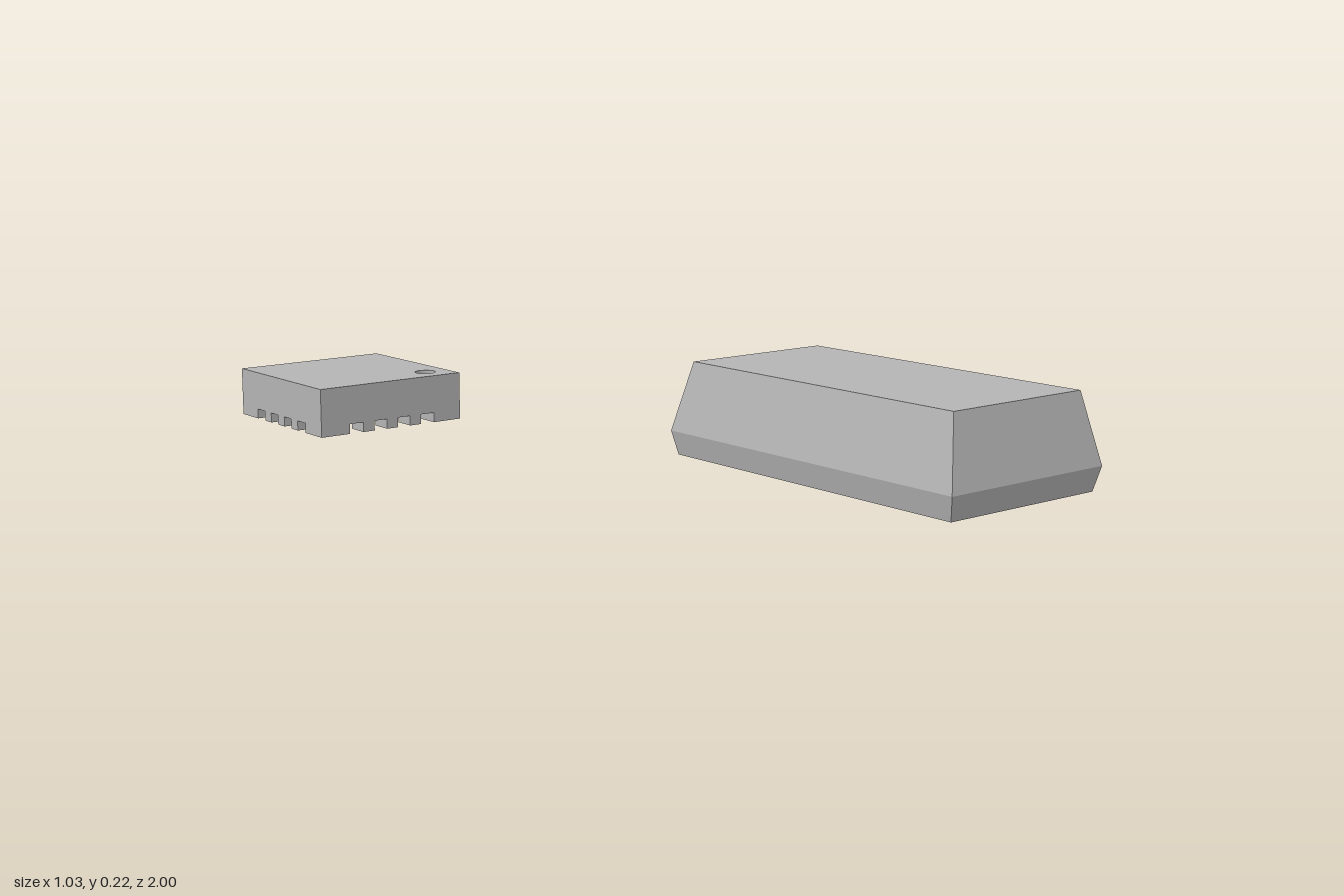
import * as THREE from 'three';

const grey = new THREE.MeshStandardMaterial({ color: 0xb4b4b4 });
grey.name = 'package grey';

function add(parent, name, geometry, x = 0, y = 0, z = 0) {
  const mesh = new THREE.Mesh(geometry, grey);
  mesh.name = name;
  mesh.position.set(x, y, z);
  parent.add(mesh);
  return mesh;
}

function square(half, Type = THREE.Shape) {
  const s = new Type();
  s.moveTo(-half, -half);
  s.lineTo(half, -half);
  s.lineTo(half, half);
  s.lineTo(-half, half);
  s.closePath();
  return s;
}

// Horizontal plate with a hole, lying on y = 0
function plate(half, hole, thickness) {
  const s = square(half);
  s.holes.push(hole);
  const g = new THREE.ExtrudeGeometry(s, { depth: thickness, bevelEnabled: false, curveSegments: 20 });
  return g.rotateX(-Math.PI / 2);
}

// Solid from stacked rectangles [y, half width, half depth], bottom to top
function stackedRects(rings) {
  const p = [];
  const corners = rings.map(([y, w, d]) => [[-w, y, d], [w, y, d], [w, y, -d], [-w, y, -d]]);
  const quad = (a, b, c, d) => p.push(...a, ...b, ...c, ...a, ...c, ...d);
  for (let r = 0; r < corners.length - 1; r++) {
    for (let i = 0; i < 4; i++) {
      const j = (i + 1) % 4;
      quad(corners[r][i], corners[r][j], corners[r + 1][j], corners[r + 1][i]);
    }
  }
  const [a, b, c, d] = corners[0];
  quad(d, c, b, a);
  quad(...corners[corners.length - 1]);
  const g = new THREE.BufferGeometry();
  g.setAttribute('position', new THREE.Float32BufferAttribute(p, 3));
  g.computeVertexNormals();
  return g;
}

export function createModel() {
  const model = new THREE.Group();
  model.name = 'chipPackages';

  // Long package with drafted sides
  add(model, 'longPackageBody', stackedRects([
    [0, 0.227, 0.434],
    [0.058, 0.24, 0.447],
    [0.225, 0.202, 0.41],
  ]), 0.276, 0, 0.553);

  // Small square package
  const chip = new THREE.Group();
  chip.name = 'squarePackage';
  chip.position.set(-0.31, 0, -0.795);
  model.add(chip);
  const half = 0.206, notch = 0.025, pocketTop = 0.075, dimpleFloor = 0.11, top = 0.122;

  // Top plate with the round orientation dimple near the front left corner
  const dimple = new THREE.Path();
  dimple.absarc(0.142, -0.142, 0.027, 0, Math.PI * 2, true);
  add(chip, 'topPlate', plate(half, dimple, top - dimpleFloor), 0, dimpleFloor, 0);
  add(chip, 'middleSlab', new THREE.BoxGeometry(half * 2, dimpleFloor - pocketTop, half * 2),
    0, (dimpleFloor + pocketTop) / 2, 0);

  // Ring around the pocket in the underside
  add(chip, 'pocketRing', plate(half, square(0.12, THREE.Path), pocketTop - notch), 0, notch, 0);

  // Corner feet and the teeth between the notches
  const foot = 0.081, toothWidth = 0.033, toothDepth = 0.056, pitch = 0.0693;
  for (let side = 0; side < 4; side++) {
    const edge = new THREE.Group();
    edge.name = 'edge' + (side + 1);
    edge.rotation.y = side * Math.PI / 2;
    chip.add(edge);
    add(edge, 'cornerFoot', new THREE.BoxGeometry(foot, notch, foot),
      half - foot / 2, notch / 2, half - foot / 2);
    for (let i = -1; i <= 1; i++) {
      add(edge, 'tooth', new THREE.BoxGeometry(toothWidth, notch, toothDepth),
        i * pitch, notch / 2, half - toothDepth / 2);
    }
  }
  return model;
}
